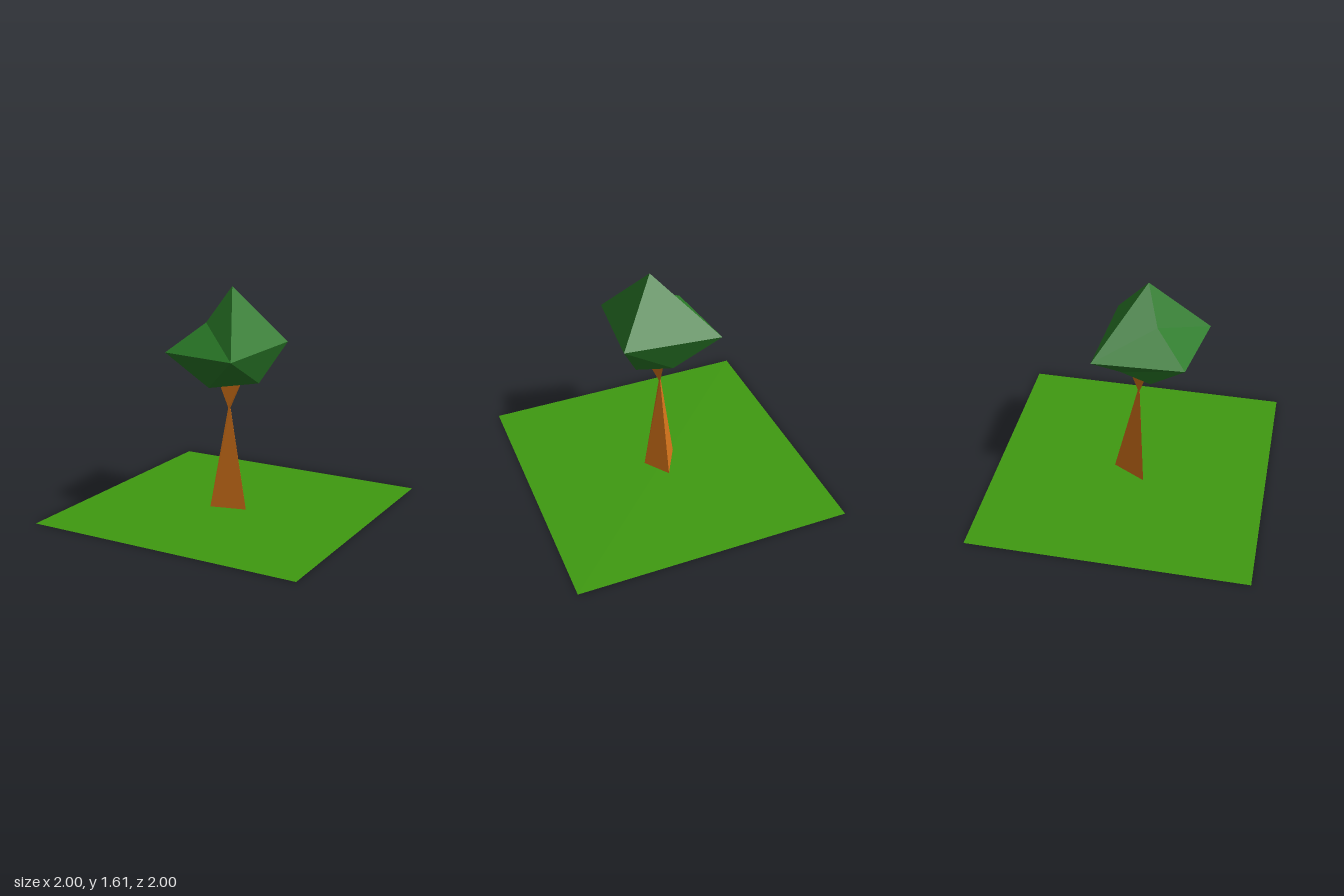
import * as THREE from 'three';

// Faceted mesh from corner points and outward-facing triangles
function facetedMesh(name, points, faces, color) {
  const geometry = new THREE.BufferGeometry();
  const corners = faces.flat().flatMap((i) => points[i]);
  geometry.setAttribute('position', new THREE.Float32BufferAttribute(corners, 3));
  geometry.computeVertexNormals();
  const mesh = new THREE.Mesh(geometry, new THREE.MeshStandardMaterial({ color, flatShading: true }));
  mesh.name = name;
  return mesh;
}

// Triangles joining stacked three-sided rings, with both ends capped
function ringFaces(rings) {
  const faces = [[0, 2, 1]];
  for (let r = 0; r < rings - 1; r++) {
    for (let i = 0; i < 3; i++) {
      const a = r * 3 + i;
      const b = r * 3 + ((i + 1) % 3);
      faces.push([a, b, b + 3], [a, b + 3, a + 3]);
    }
  }
  const t = (rings - 1) * 3;
  faces.push([t, t + 1, t + 2]);
  return faces;
}

export function createModel() {
  const tree = new THREE.Group();
  tree.name = 'tree';

  // Flat square of grass
  const ground = new THREE.Mesh(
    new THREE.PlaneGeometry(2, 2).rotateX(-Math.PI / 2),
    new THREE.MeshStandardMaterial({ color: 0x3f9a10, side: THREE.DoubleSide })
  );
  ground.name = 'ground';
  tree.add(ground);

  // Three-sided trunk: wide foot, pinched neck, flare into the crown
  const trunkPoints = [
    [-0.13, 0, 0.105], [0.127, 0, 0.04], [0, 0, -0.135],
    [-0.01, 0.74, 0.053], [0.006, 0.74, 0.05], [0, 0.74, 0.038],
    [-0.052, 0.95, 0.122], [0.1, 0.95, 0.045], [0, 0.95, -0.035],
  ];
  tree.add(facetedMesh('trunk', trunkPoints, ringFaces(3), 0xd9761a));

  // Irregular crown: peak and shoulder, four outer corners, three lower corners
  const crownPoints = [
    [0.05, 1.61, 0.1], [-0.105, 1.36, 0.19],
    [-0.355, 1.19, -0.215], [0.342, 1.21, -0.17], [0.268, 1.17, 0.505], [-0.3, 1.17, 0.41],
    [-0.112, 0.89, 0.148], [0.2, 0.927, -0.01], [-0.05, 0.92, -0.08],
  ];
  const crownFaces = [
    // upper
    [0, 4, 3], [0, 3, 2], [0, 2, 1], [1, 2, 5], [1, 5, 4], [0, 1, 4],
    // lower
    [5, 6, 4], [4, 6, 7], [4, 7, 3], [3, 7, 8], [3, 8, 2], [2, 8, 5], [5, 8, 6],
    // underside
    [6, 8, 7],
  ];
  tree.add(facetedMesh('crown', crownPoints, crownFaces, 0x2a7a28));

  return tree;
}
